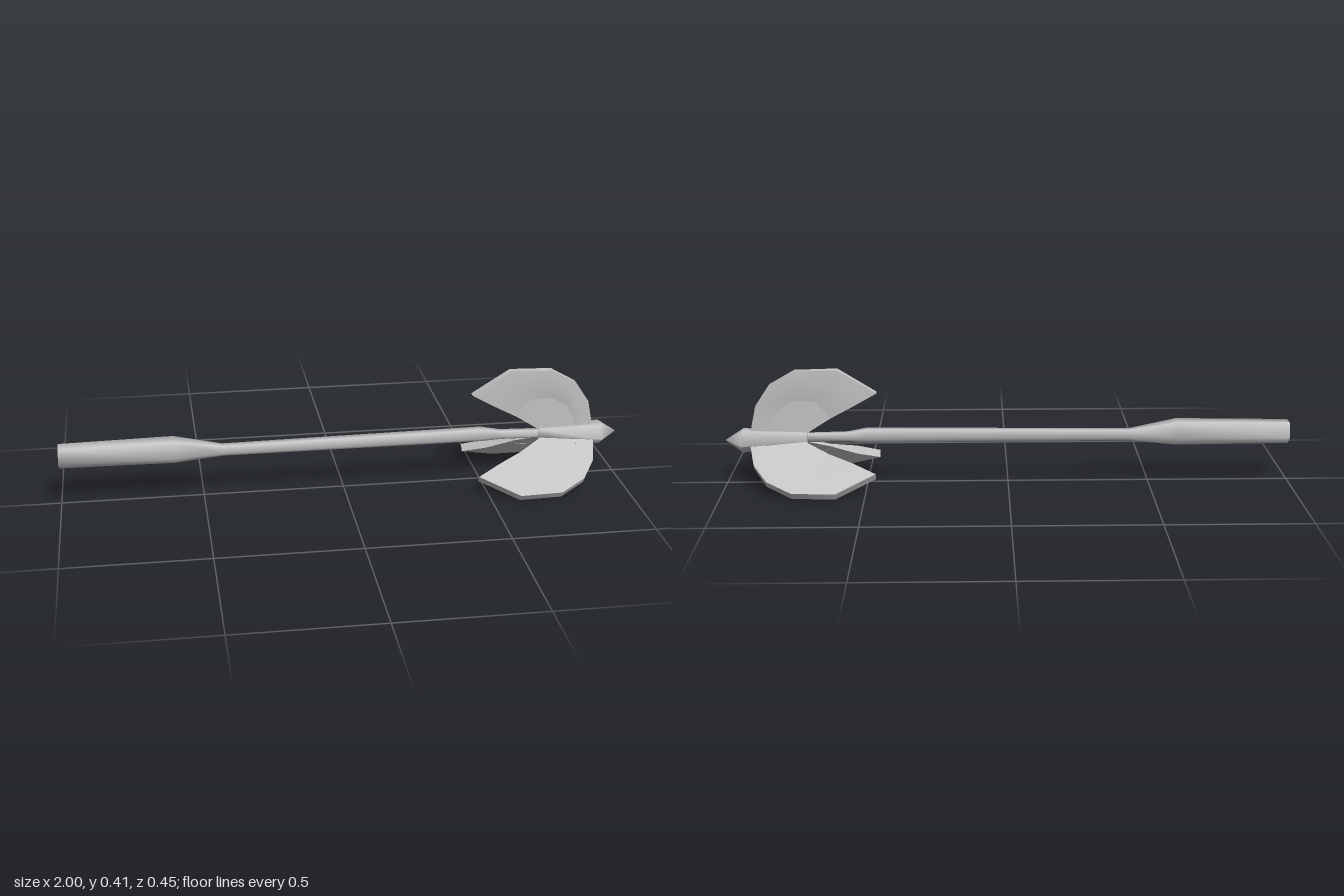
import * as THREE from 'three';
import { toCreasedNormals } from 'three/addons/utils/BufferGeometryUtils.js';

const metal = new THREE.MeshStandardMaterial({ color: 0xc4c4c4 });
metal.name = 'grey metal';

// Skin a row of closed rings and cap both ends
function loft(rings, crease) {
  const n = rings[0].length, last = (rings.length - 1) * n, index = [];
  for (let i = 0; i < rings.length - 1; i++) {
    for (let j = 0; j < n; j++) {
      const k = (j + 1) % n;
      const a = i * n + j, b = i * n + k, c = b + n, d = a + n;
      index.push(a, b, c, a, c, d);
    }
  }
  for (let j = 1; j < n - 1; j++) {
    index.push(0, j + 1, j, last, last + j, last + j + 1);
  }
  const geo = new THREE.BufferGeometry();
  geo.setAttribute('position', new THREE.Float32BufferAttribute(rings.flat(2), 3));
  geo.setIndex(index);
  return toCreasedNormals(geo, crease);
}

// Five-sided rod along x, one corner pointing down; stations are [x, centre y, radius]
function rod(stations) {
  return loft(stations.map(([x, cy, r]) => Array.from({ length: 5 }, (_, j) => {
    const a = Math.PI + j * Math.PI * 2 / 5;
    return [x, cy + r * Math.cos(a), r * Math.sin(a)];
  })), 1.3);
}

// Curved blade: [outer x, outer radius, inner x, inner radius, half thickness]
const bladeSections = [
  [0.463, 0.167, 0.627, 0.075, 0.014],
  [0.60, 0.252, 0.675, 0.135, 0.014],
  [0.75, 0.248, 0.755, 0.142, 0.014],
  [0.84, 0.197, 0.815, 0.105, 0.013],
  [0.89, 0.122, 0.84, 0.06, 0.009],
  [0.91, 0.03, 0.85, 0.0, 0.007],
];

function bladeGeometry() {
  return loft(bladeSections.map(([xo, yo, xi, yi, t]) => {
    const xm = (xo + xi) / 2, ym = (yo + yi) / 2, s = 0.006;
    return [
      [xo, yo, t], [xm, ym, t * 1.08], [xi, yi, s],
      [xi, yi, -s], [xm, ym, -t * 1.08], [xo, yo, -t],
    ];
  }), 0.9);
}

// Flat plate filling the hollow of the blade
function webGeometry() {
  const shape = new THREE.Shape();
  shape.moveTo(0.71, 0);
  shape.lineTo(0.71, 0.022);
  for (const [, , x, y] of bladeSections) shape.lineTo(x, y);
  const geo = new THREE.ExtrudeGeometry(shape, { depth: 0.01, bevelEnabled: false });
  return geo.translate(0, 0, -0.005);
}

export function createModel() {
  const model = new THREE.Group();
  model.name = 'threeBladedMace';
  const add = (parent, name, geo) => {
    const mesh = new THREE.Mesh(geo, metal);
    mesh.name = name;
    parent.add(mesh);
  };

  // Thick grip, slim shaft and narrowed neck
  add(model, 'gripAndShaft', rod([
    [-1, 0.181, 0.045], [-0.6, 0.182, 0.05], [-0.43, 0.172, 0.023],
    [0.5, 0.176, 0.028], [0.57, 0.171, 0.019], [0.72, 0.168, 0.018],
  ]));

  // Flaring socket that ends in a point
  add(model, 'pointedSocket', rod([
    [0.71, 0.168, 0.024], [0.94, 0.159, 0.046], [1, 0.16, 0.001],
  ]));

  // Three blades around the shaft
  const blade = bladeGeometry(), web = webGeometry();
  [['topBlade', 0, 1], ['frontBlade', 124.5, 1.04], ['backBlade', -124.5, 1.04]].forEach(([name, deg, reach]) => {
    const fin = new THREE.Group();
    fin.name = name;
    fin.position.y = 0.163;
    fin.rotation.x = THREE.MathUtils.degToRad(deg);
    fin.scale.y = reach;
    add(fin, name + 'Edge', blade);
    add(fin, name + 'Web', web);
    model.add(fin);
  });

  return model;
}
